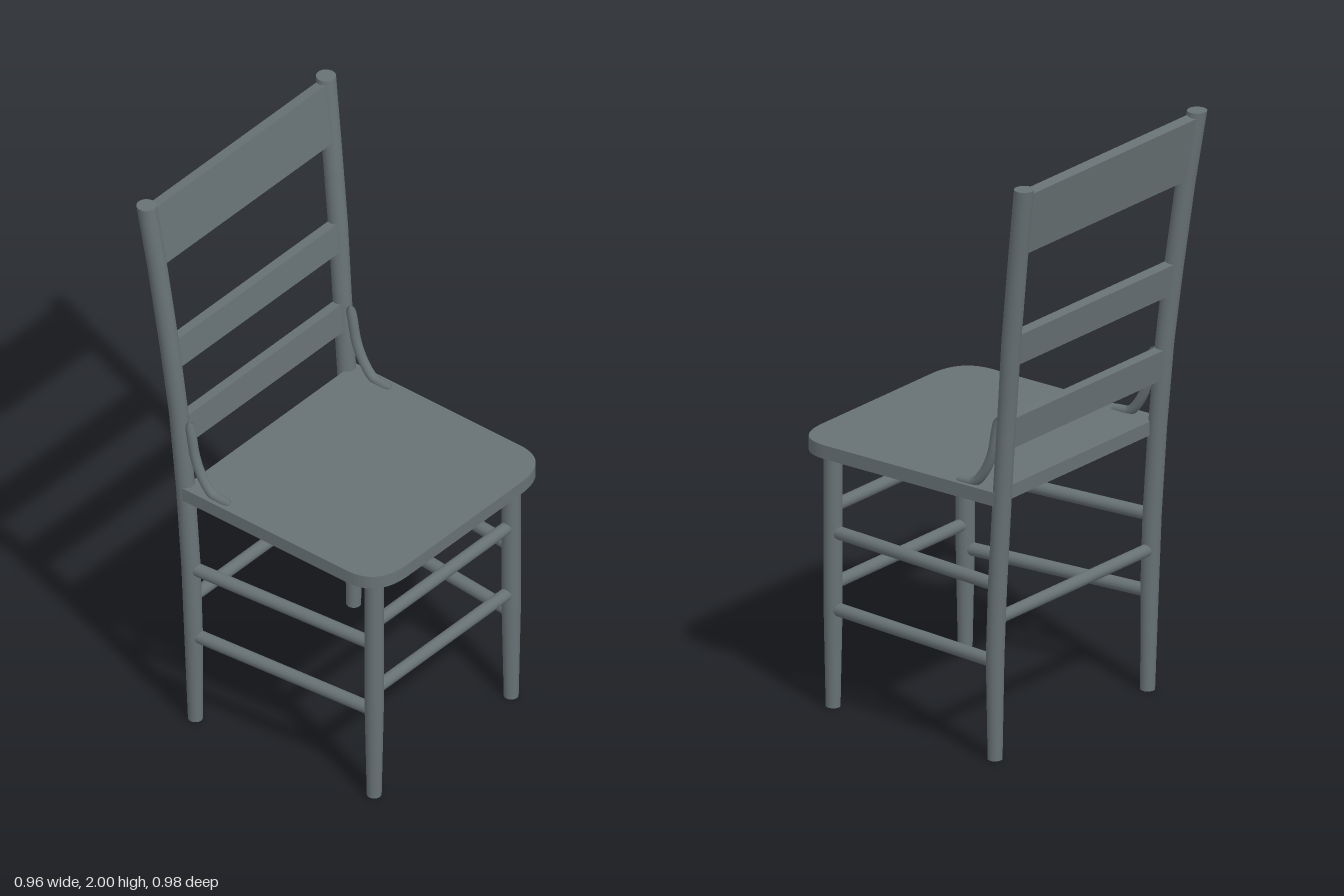
import * as THREE from 'three';

// Back post centre line: [y, x, z, radius]
const POST = [
  [0, 0.395, -0.298, 0.024], [0.35, 0.4, -0.302, 0.03], [0.6, 0.4, -0.312, 0.031],
  [0.9, 0.402, -0.332, 0.031], [1.2, 0.408, -0.357, 0.031], [1.45, 0.42, -0.383, 0.032],
  [1.75, 0.434, -0.421, 0.032], [2, 0.448, -0.457, 0.0325],
];
// Front leg centre line, in the same form
const LEG = [[0, 0.342, 0.4, 0.024], [0.35, 0.342, 0.4, 0.031], [0.89, 0.342, 0.4, 0.031]];

// Linear lookup of x, z and radius at height y
function at(line, y) {
  let i = 0;
  while (i < line.length - 2 && y > line[i + 1][0]) i++;
  const a = line[i], b = line[i + 1], t = (y - a[0]) / (b[0] - a[0]);
  return [1, 2, 3].map((k) => a[k] + (b[k] - a[k]) * t);
}

// Upright turned post: a cylinder bent and tapered along its centre line
function postGeometry(line, side) {
  const h = line[line.length - 1][0];
  const g = new THREE.CylinderGeometry(1, 1, h, 24, 40).translate(0, h / 2, 0);
  const p = g.attributes.position;
  for (let i = 0; i < p.count; i++) {
    const [x, z, r] = at(line, p.getY(i));
    p.setXYZ(i, side * x + p.getX(i) * r, p.getY(i), z + p.getZ(i) * r);
  }
  g.computeVertexNormals();
  return g;
}

// Round bar between two points
function barGeometry(a, b, r) {
  return new THREE.TubeGeometry(new THREE.LineCurve3(new THREE.Vector3(...a), new THREE.Vector3(...b)), 1, r, 16);
}

// Curved bracket with rounded ends
function bracketGeometry(side) {
  const points = [
    [0.925, -0.145], [0.926, -0.18], [0.933, -0.222], [0.978, -0.262],
    [1.045, -0.292], [1.13, -0.309], [1.175, -0.32],
  ].map(([y, z]) => new THREE.Vector3(side * 0.402, y, z));
  const curve = new THREE.CatmullRomCurve3(points);
  const n = 40, m = 14;
  const g = new THREE.TubeGeometry(curve, n, 1, m);
  const p = g.attributes.position, c = new THREE.Vector3(), v = new THREE.Vector3();
  for (let i = 0; i <= n; i++) {
    const u = i / n, e = Math.min(1, Math.min(u, 1 - u) / 0.08);
    const r = 0.0165 * Math.sqrt(1 - (1 - e) ** 2);
    curve.getPointAt(u, c);
    for (let j = 0; j <= m; j++) {
      const k = i * (m + 1) + j;
      v.fromBufferAttribute(p, k).sub(c).multiplyScalar(r).add(c);
      p.setXYZ(k, v.x, v.y, v.z);
    }
  }
  return g;
}

export function createModel() {
  const chair = new THREE.Group();
  chair.name = 'chair';
  const paint = new THREE.MeshStandardMaterial({ color: 0x677174 });
  paint.name = 'slate grey paint';
  const add = (name, geometry) => {
    const mesh = new THREE.Mesh(geometry, paint);
    mesh.name = name;
    chair.add(mesh);
    return mesh;
  };

  // Seat: flat board with rounded front corners (shape y becomes z)
  const w = 0.433, front = 0.49, back = -0.323;
  const s = new THREE.Shape();
  s.moveTo(-w, back);
  s.lineTo(w, back);
  s.lineTo(w, 0.36);
  s.quadraticCurveTo(w, front, 0.28, front);
  s.lineTo(-0.28, front);
  s.quadraticCurveTo(-w, front, -w, 0.36);
  s.closePath();
  const seat = new THREE.ExtrudeGeometry(s, { depth: 0.047, bevelEnabled: false, curveSegments: 16 });
  add('seat', seat.rotateX(Math.PI / 2).translate(0, 0.926, 0));

  // Posts, legs, brackets and side stretchers on both sides
  for (const side of [1, -1]) {
    const label = side > 0 ? 'left' : 'right';
    add(`${label}BackPost`, postGeometry(POST, side));
    add(`${label}FrontLeg`, postGeometry(LEG, side));
    add(`${label}Bracket`, bracketGeometry(side));
    for (const y of [0.335, 0.598]) {
      const [fx, fz] = at(LEG, y), [bx, bz] = at(POST, y);
      add(`${label}SideStretcher`, barGeometry([side * fx, y, fz], [side * bx, y, bz], 0.022));
    }
  }

  // Cross stretchers: two in front, one behind
  for (const [name, line, y] of [
    ['upperFrontStretcher', LEG, 0.682], ['lowerFrontStretcher', LEG, 0.418], ['backStretcher', POST, 0.482],
  ]) {
    const [x, z] = at(line, y);
    add(name, barGeometry([-x, y, z], [x, y, z], 0.021));
  }

  // Back slats, tilted along the posts
  for (const [name, y0, y1, depth] of [
    ['lowerSlat', 1.075, 1.18, 0.034], ['middleSlat', 1.37, 1.477, 0.036], ['topSlat', 1.768, 1.985, 0.038],
  ]) {
    const [x, z] = at(POST, (y0 + y1) / 2);
    const slope = (at(POST, y1)[1] - at(POST, y0)[1]) / (y1 - y0);
    const slat = add(name, new THREE.BoxGeometry(2 * x, y1 - y0, depth));
    slat.position.set(0, (y0 + y1) / 2, z);
    slat.rotation.x = Math.atan(slope);
  }
  return chair;
}
